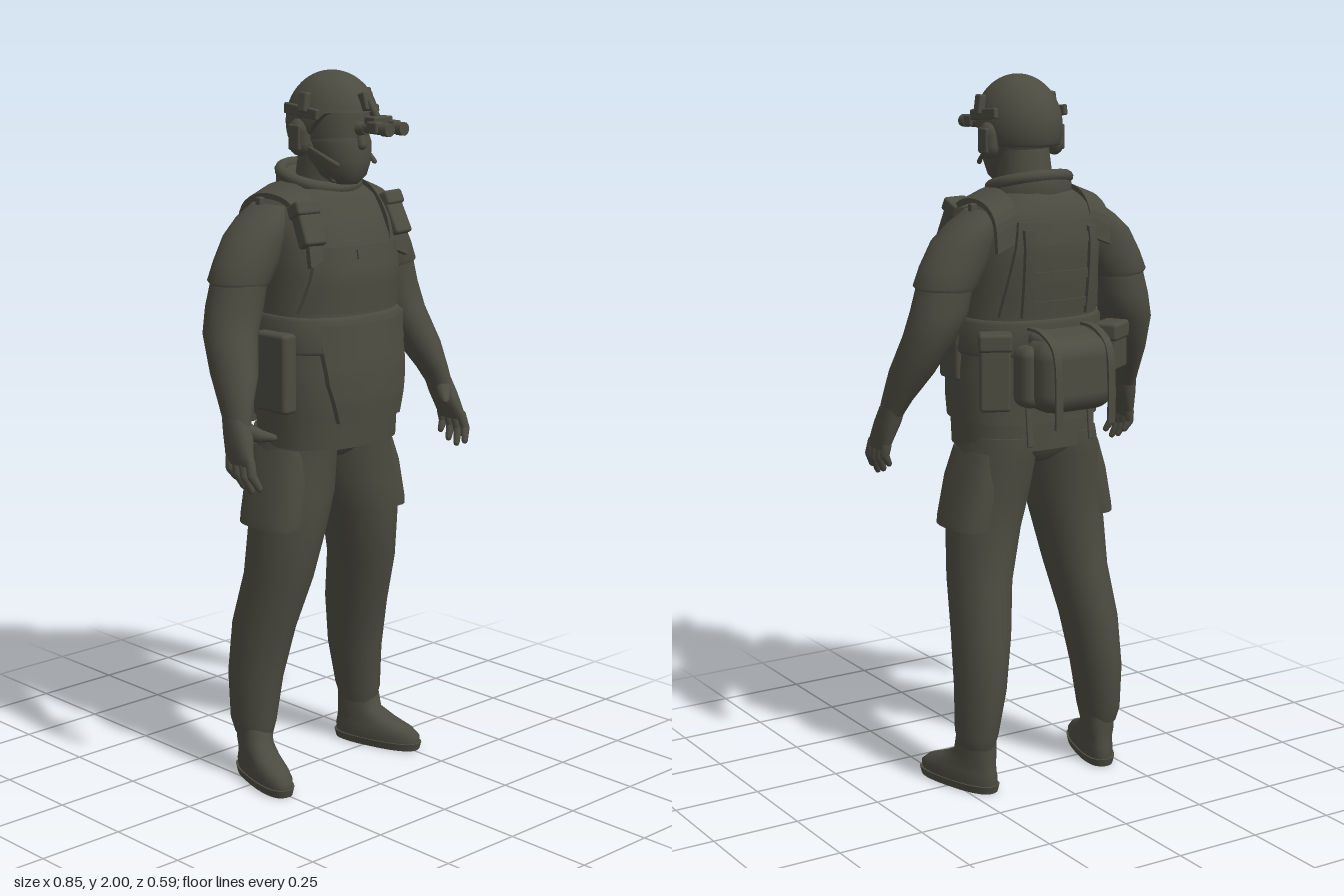
import * as THREE from 'three';
import { RoundedBoxGeometry } from 'three/addons/geometries/RoundedBoxGeometry.js';

const olive = new THREE.MeshStandardMaterial({ color: 0x4b4b40, side: THREE.DoubleSide });
olive.name = 'darkOlive';

// Stack of superellipse rings, bottom to top; each row is [x, y, z, halfWidth, halfDepth]
function loft(list, power = 2, segs = 28) {
  const rows = [...list].sort((a, b) => a[1] - b[1]);
  const pos = [], index = [], e = 2 / power;
  const bend = (v) => Math.sign(v) * Math.abs(v) ** e;
  for (const [x, y, z, rx, rz] of rows)
    for (let j = 0; j < segs; j++) {
      const a = (j / segs) * Math.PI * 2;
      pos.push(x + rx * bend(Math.cos(a)), y, z + rz * bend(Math.sin(a)));
    }
  for (let i = 0; i < rows.length - 1; i++)
    for (let j = 0; j < segs; j++) {
      const a = i * segs + j, b = i * segs + ((j + 1) % segs);
      index.push(a, a + segs, b, b, a + segs, b + segs);
    }
  // flat end caps with their own corners
  for (const [k, top] of [[0, false], [rows.length - 1, true]]) {
    const base = pos.length / 3;
    for (let j = 0; j < segs * 3; j++) pos.push(pos[k * segs * 3 + j]);
    pos.push(rows[k][0], rows[k][1], rows[k][2]);
    for (let j = 0; j < segs; j++) {
      const a = base + j, b = base + ((j + 1) % segs), c = base + segs;
      index.push(...(top ? [a, c, b] : [a, b, c]));
    }
  }
  const g = new THREE.BufferGeometry();
  g.setAttribute('position', new THREE.Float32BufferAttribute(pos, 3));
  g.setIndex(index);
  g.computeVertexNormals();
  return g;
}

// Move each corner by a rule
function warp(g, rule) {
  const p = g.attributes.position;
  for (let i = 0; i < p.count; i++) p.setXYZ(i, ...rule(p.getX(i), p.getY(i), p.getZ(i)));
  g.computeVertexNormals();
  return g;
}

// Mirror across x = 0, turning the faces back outward
function mirror(geo) {
  const g = geo.clone().scale(-1, 1, 1);
  const n = g.index ? g.index.count : g.attributes.position.count, idx = [];
  for (let i = 0; i < n; i += 3)
    for (const k of [0, 2, 1]) idx.push(g.index ? g.index.getX(i + k) : i + k);
  g.setIndex(idx);
  return g;
}

const place = (g, x, y, z, rx = 0, ry = 0, rz = 0) => g.rotateX(rx).rotateY(ry).rotateZ(rz).translate(x, y, z);
const box = (w, h, d, r = 0.008) => new RoundedBoxGeometry(w, h, d, 3, Math.min(r, w / 2.1, h / 2.1, d / 2.1));

// Tapered round rod between two points
function rod(a, b, r0, r1) {
  const p = new THREE.Vector3(...a), dir = new THREE.Vector3(...b).sub(p), l = dir.length();
  const g = new THREE.LatheGeometry([[0, -r0], [r0 * 0.7, -r0 * 0.7], [r0, 0], [r1, l], [r1 * 0.7, l + r1 * 0.7], [0, l + r1]]
    .map((v) => new THREE.Vector2(...v)), 10);
  g.applyQuaternion(new THREE.Quaternion().setFromUnitVectors(new THREE.Vector3(0, 1, 0), dir.normalize()));
  return g.translate(...a);
}

// Strap of given width running through [z, y] points at a fixed x, sloping down outward
function band(points, x, width, thick, slope = 0) {
  const curve = new THREE.SplineCurve(points.map((p) => new THREE.Vector2(...p)));
  const inner = curve.getPoints(24);
  const outer = inner.map((p, i) => {
    const t = curve.getTangent(i / 24);
    return new THREE.Vector2(p.x - t.y * thick, p.y + t.x * thick);
  });
  const g = new THREE.ExtrudeGeometry(new THREE.Shape([...inner, ...outer.reverse()]), { depth: width, bevelEnabled: false });
  g.rotateY(-Math.PI / 2).translate(x + width / 2, 0, 0);
  return warp(g, (px, py, pz) => [px, py - (px - x) * slope, pz]);
}

const torso = [
  [0, 1.06, 0.03, 0.213, 0.172], [0, 1.12, 0.035, 0.216, 0.172], [0, 1.2, 0.033, 0.216, 0.172],
  [0, 1.35, 0.02, 0.2, 0.168], [0, 1.46, 0.015, 0.2, 0.178], [0, 1.55, 0.003, 0.2, 0.172],
  [0, 1.61, -0.008, 0.192, 0.152], [0, 1.655, -0.012, 0.165, 0.135], [0, 1.69, -0.01, 0.11, 0.11],
];
function torsoAt(y) {
  let i = 0;
  while (i < torso.length - 2 && torso[i + 1][1] < y) i++;
  const a = torso[i], b = torso[i + 1], t = (y - a[1]) / (b[1] - a[1]);
  return a.map((v, k) => v + (b[k] - v) * t);
}

// Plate wrapped on the torso; side is 1 for front, -1 for back
function plate(y0, y1, w0, w1, thick, side = 1, x0 = 0) {
  const g = new THREE.BoxGeometry(2, y1 - y0, thick, 14, 8, 1).translate(0, (y0 + y1) / 2, 0);
  return warp(g, (u, y, d) => {
    const [, , cz, rx, rz] = torsoAt(y), x = x0 + u * (w0 + (w1 - w0) * (y - y0) / (y1 - y0));
    return [x, y, cz + side * rz * Math.max(0, 1 - Math.abs(x / rx) ** 2.4) ** (1 / 2.4) + d];
  });
}

export function createModel() {
  const model = new THREE.Group();
  const add = (name, geo) => {
    const m = new THREE.Mesh(geo, olive);
    m.name = name;
    model.add(m);
  };
  const pair = (name, geo) => { add(name + 'Left', geo); add(name + 'Right', mirror(geo)); };

  // Torso, shirt hem and hips
  add('vest', loft(torso, 2.4, 40));
  add('shirtHem', loft([[0, 0.982, 0.025, 0.203, 0.162], [0, 1.08, 0.028, 0.205, 0.165]], 2.4, 40));
  add('hips', loft([[0, 0.935, 0.005, 0.05, 0.08], [0, 0.97, 0.005, 0.14, 0.125], [0, 1.02, 0.01, 0.19, 0.14]], 2.3));
  add('waistBand', loft([1.25, 1.26, 1.3, 1.34, 1.35].map((y, i) => {
    const r = torsoAt(y), o = i % 4 ? 0.012 : 0.004;
    return [0, y, r[2], r[3] + o, r[4] + o];
  }), 2.4, 40));

  // Vest plates and webbing
  add('bellyFlap', plate(1.06, 1.17, 0.115, 0.145, 0.032));
  add('bellyFlapTop', plate(1.17, 1.33, 0.145, 0.16, 0.032));
  add('chestPlate', plate(1.36, 1.54, 0.185, 0.15, 0.024));
  add('chestPatch', plate(1.505, 1.53, 0.045, 0.045, 0.034));
  add('backPlate', plate(1.36, 1.62, 0.16, 0.12, 0.024, -1));
  for (const y of [1.38, 1.46, 1.56]) add('backWebbing', plate(y, y + 0.025, 0.11, 0.11, 0.036, -1));
  pair('backStrap', plate(1.36, 1.6, 0.014, 0.014, 0.05, -1, 0.1));
  pair('shoulderStrap', band([[0.145, 1.5], [0.125, 1.59], [0.06, 1.66], [-0.04, 1.672], [-0.11, 1.635], [-0.125, 1.55]], 0.15, 0.066, -0.015, 0.4));
  pair('shoulderPouch', place(box(0.07, 0.12, 0.045), 0.16, 1.6, 0.122, -0.45, 0.15));
  pair('shoulderPouchFlap', place(box(0.075, 0.04, 0.055), 0.16, 1.64, 0.105, -0.45, 0.15));
  pair('strapBuckle', place(box(0.02, 0.03, 0.02, 0.004), 0.195, 1.65, -0.03));

  // Collar, higher at the back
  add('collar', warp(loft([[0, 1.6, 0.012, 0.115, 0.122], [0, 1.65, 0.002, 0.12, 0.125], [0, 1.69, -0.005, 0.117, 0.12],
    [0, 1.712, -0.005, 0.104, 0.108]]), (x, y, z) => [x, y - z * 0.25, z]));
  add('collarRoll', place(new THREE.TorusGeometry(0.106, 0.017, 10, 32), 0, 1.71, -0.007, Math.PI / 2 + 0.25));

  // Head and face mask
  add('neck', loft([[0, 1.64, 0, 0.08, 0.08], [0, 1.8, 0.025, 0.07, 0.078]]));
  add('head', loft([[0, 1.7, 0.09, 0.035, 0.04], [0, 1.72, 0.08, 0.058, 0.068], [0, 1.76, 0.068, 0.075, 0.088],
    [0, 1.82, 0.055, 0.085, 0.1], [0, 1.88, 0.05, 0.088, 0.108], [0, 1.93, 0.045, 0.08, 0.1]], 2.2));
  add('faceMask', loft([[0, 1.698, 0.095, 0.032, 0.04], [0, 1.72, 0.085, 0.06, 0.07], [0, 1.76, 0.075, 0.077, 0.09],
    [0, 1.81, 0.062, 0.087, 0.1], [0, 1.825, 0.06, 0.083, 0.097]], 2.2));
  add('nose', rod([0, 1.845, 0.15], [0, 1.805, 0.163], 0.01, 0.014));

  // Helmet with a rim that drops toward the back
  const helmet = new THREE.SphereGeometry(1, 36, 24, 0, Math.PI * 2, 0, Math.PI * 0.68);
  helmet.scale(0.113, 0.14, 0.142).translate(0, 1.86, 0.048);
  add('helmet', warp(helmet, (x, y, z) => [x, Math.max(y, 1.81 + 0.085 * THREE.MathUtils.smoothstep(z, 0.03, 0.13)), z]));
  pair('helmetRail', place(box(0.014, 0.03, 0.13, 0.005), 0.112, 1.895, 0.045, 0.1));
  pair('railClamp', place(box(0.022, 0.055, 0.03, 0.006), 0.116, 1.92, 0.06, 0, 0, 0.15));
  pair('earCup', place(new THREE.CapsuleGeometry(0.036, 0.03, 4, 14).scale(0.65, 1, 1), 0.106, 1.825, 0.03));
  pair('earCupCover', place(box(0.014, 0.07, 0.045, 0.006), 0.122, 1.825, 0.03));
  pair('chinStrap', rod([0.088, 1.81, 0.05], [0.045, 1.708, 0.1], 0.007, 0.007));
  pair('microphone', rod([0.1, 1.8, 0.06], [0.07, 1.755, 0.14], 0.004, 0.007));

  // Night goggles on the helmet front
  add('goggleMount', place(box(0.036, 0.05, 0.03, 0.005), 0, 1.922, 0.178, -0.3));
  add('goggleArm', rod([0, 1.925, 0.19], [0, 1.885, 0.22], 0.009, 0.009));
  add('goggleBridge', place(box(0.07, 0.022, 0.04, 0.004), 0, 1.876, 0.225));
  pair('goggleHousing', place(box(0.03, 0.032, 0.04, 0.006), 0.033, 1.86, 0.245));
  pair('goggleTube', place(new THREE.CylinderGeometry(0.016, 0.014, 0.085, 14), 0.026, 1.856, 0.24, Math.PI / 2));
  pair('goggleLens', place(new THREE.CylinderGeometry(0.018, 0.018, 0.025, 14), 0.027, 1.856, 0.283, Math.PI / 2));
  pair('goggleEyecup', place(new THREE.CylinderGeometry(0.015, 0.019, 0.025, 14), 0.026, 1.853, 0.192, Math.PI / 2));

  // Arms
  pair('sleeve', loft([[0.165, 1.645, -0.025, 0.04, 0.06], [0.19, 1.61, -0.024, 0.068, 0.08], [0.22, 1.565, -0.022, 0.09, 0.086],
    [0.253, 1.5, -0.022, 0.094, 0.086], [0.278, 1.45, -0.023, 0.09, 0.084], [0.277, 1.437, -0.023, 0.08, 0.078]]));
  pair('forearm', loft([[0.275, 1.47, -0.022, 0.076, 0.078], [0.297, 1.38, -0.022, 0.08, 0.08], [0.322, 1.31, -0.012, 0.072, 0.08],
    [0.352, 1.21, 0.036, 0.058, 0.074], [0.378, 1.13, 0.072, 0.038, 0.054], [0.389, 1.085, 0.09, 0.03, 0.044]]));
  pair('palm', loft([[0.387, 1.105, 0.083, 0.031, 0.042], [0.395, 1.06, 0.1, 0.03, 0.047],
    [0.406, 1.01, 0.117, 0.021, 0.05], [0.408, 0.985, 0.122, 0.014, 0.046]], 2.4));
  for (let i = 0; i < 4; i++) {
    const z = 0.083 + i * 0.026, drop = [0.03, 0.01, 0, 0.012][i], tipZ = z + 0.008 + i * 0.006;
    const knuckle = [0.412, 0.955 + drop / 2, (z + tipZ) / 2];
    pair('finger', rod([0.408, 1.0, z], knuckle, 0.014, 0.013));
    pair('fingerTip', rod(knuckle, [0.397, 0.915 + drop, tipZ], 0.013, 0.009));
  }
  pair('thumbBase', rod([0.385, 1.075, 0.11], [0.357, 1.058, 0.143], 0.024, 0.018));
  pair('thumbTip', rod([0.357, 1.058, 0.143], [0.331, 1.053, 0.17], 0.018, 0.01));

  // Trousers
  pair('trouserLeg', loft([[0.1, 1.02, 0.01, 0.098, 0.14], [0.106, 0.95, 0.005, 0.105, 0.135], [0.12, 0.85, 0.016, 0.111, 0.124],
    [0.14, 0.75, 0.015, 0.101, 0.12], [0.162, 0.6, 0, 0.086, 0.11], [0.182, 0.45, -0.04, 0.077, 0.104],
    [0.197, 0.3, -0.06, 0.068, 0.09], [0.208, 0.17, -0.058, 0.057, 0.075], [0.208, 0.13, -0.056, 0.048, 0.062]]));
  pair('cargoPocket', loft([[0.155, 0.975, 0.008, 0.05, 0.1], [0.172, 0.89, 0.012, 0.062, 0.108],
    [0.192, 0.78, 0.014, 0.067, 0.106], [0.196, 0.757, 0.014, 0.066, 0.104]], 2.5));

  // Boots turned outward
  const boot = (g) => g.rotateY(0.28).translate(0.207, 0, -0.058);
  pair('boot', boot(loft([[0, 0.018, 0.07, 0.047, 0.136], [0, 0.04, 0.07, 0.05, 0.138], [0, 0.06, 0.06, 0.047, 0.124],
    [0, 0.08, 0.035, 0.044, 0.096], [0, 0.105, 0.008, 0.045, 0.068], [0, 0.18, 0, 0.046, 0.06]], 2.3)));
  pair('sole', boot(loft([[0, 0, 0.07, 0.047, 0.137], [0, 0.022, 0.07, 0.052, 0.143]], 2.5)));

  // Belt pouches
  add('sidePouchRight', place(box(0.05, 0.22, 0.12, 0.012), -0.222, 1.2, 0.06));
  add('sidePouchLeft', place(box(0.035, 0.16, 0.1, 0.012), 0.207, 1.25, 0.06));
  add('radioPouch', place(box(0.085, 0.2, 0.06, 0.01), 0.185, 1.21, -0.125, 0, -0.5));
  add('radioFlap', place(box(0.092, 0.05, 0.068, 0.01), 0.185, 1.3, -0.127, 0, -0.5));
  add('medicalPouch', place(box(0.09, 0.13, 0.065, 0.01), -0.2, 1.25, -0.118, 0, 0.55));
  add('medicalFlap', place(box(0.096, 0.05, 0.073, 0.01), -0.2, 1.295, -0.12, 0, 0.55));

  // Pack on the lower back
  add('packBody', place(box(0.24, 0.205, 0.15, 0.055), 0, 1.21, -0.207));
  add('packBase', place(box(0.29, 0.17, 0.085, 0.03), 0, 1.205, -0.177));
  add('packLid', place(box(0.19, 0.05, 0.11, 0.025), 0, 1.295, -0.19, -0.15));
  pair('packStrap', band([[-0.14, 1.325], [-0.21, 1.322], [-0.272, 1.28], [-0.286, 1.18], [-0.285, 1.075]], 0.085, 0.022, -0.008));
  pair('hangingStrap', place(box(0.018, 0.13, 0.008, 0.003), 0.1, 1.07, -0.165, 0.1));
  return model;
}
